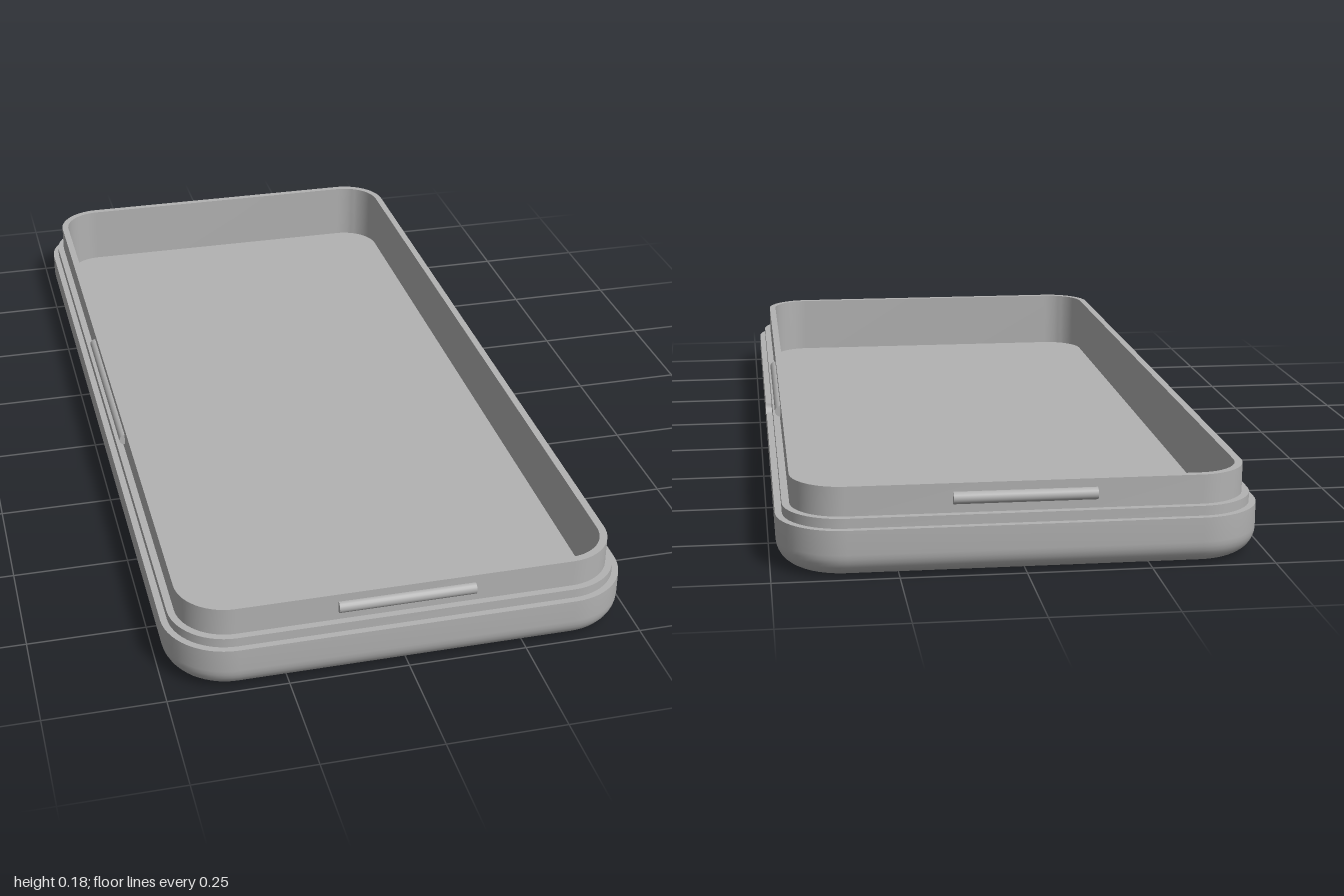
import * as THREE from 'three';
import { toCreasedNormals } from 'three/addons/utils/BufferGeometryUtils.js';

const HALF_X = 0.487, HALF_Z = 1, CORNER = 0.135;
const NOTCH_HALF = 0.045, NOTCH_DEPTH = 0.03;

// Rounded rectangle outline, inset from the outer wall, as [x, z] pairs.
// Extra points on the +x side carry the thumb notch.
function outline(inset) {
  const pts = [], steps = 14, r = CORNER - inset;
  const cx = HALF_X - CORNER, cz = HALF_Z - CORNER;
  [[1, 1], [-1, 1], [-1, -1], [1, -1]].forEach(([sx, sz], q) => {
    for (let i = 0; i <= steps; i++) {
      const a = (q + i / steps) * Math.PI / 2;
      pts.push([sx * cx + r * Math.cos(a), sz * cz + r * Math.sin(a)]);
    }
  });
  for (let i = 0; i <= 16; i++) {
    pts.push([HALF_X - inset, -NOTCH_HALF * Math.cos(i / 16 * Math.PI)]);
  }
  return pts;
}

// How far the lip dips at a point on the outline
function notchDip(x, z) {
  if (x < 0 || Math.abs(z) >= NOTCH_HALF) return 0;
  return NOTCH_DEPTH * Math.sqrt(1 - (z / NOTCH_HALF) ** 2);
}

// Wall swept round the outline; profile rows are [inset, y, notched]
function wall(profile) {
  const pos = [], index = [];
  let n = 0;
  profile.forEach(([inset, y, notched]) => {
    const ring = outline(inset);
    n = ring.length;
    ring.forEach(([x, z]) => pos.push(x, notched ? y - notchDip(x, z) : y, z));
  });
  for (let j = 0; j < profile.length - 1; j++) {
    for (let i = 0; i < n; i++) {
      const a = j * n + i, b = j * n + (i + 1) % n;
      index.push(a, a + n, b, b, a + n, b + n);
    }
  }
  const geo = new THREE.BufferGeometry();
  geo.setAttribute('position', new THREE.Float32BufferAttribute(pos, 3));
  geo.setIndex(index);
  return toCreasedNormals(geo, 0.5);
}

// Flat sheet filling the outline, facing up or down
function sheet(inset, y, up) {
  const shape = new THREE.Shape(outline(inset).map(([x, z]) => new THREE.Vector2(x, up ? -z : z)));
  return new THREE.ShapeGeometry(shape).rotateX(up ? -Math.PI / 2 : Math.PI / 2).translate(0, y, 0);
}

export function createModel() {
  const group = new THREE.Group();
  const grey = new THREE.MeshStandardMaterial({ color: 0xb2b2b2 });
  grey.name = 'plain grey';

  function add(name, geo) {
    const mesh = new THREE.Mesh(geo, grey);
    mesh.name = name;
    group.add(mesh);
    return mesh;
  }

  // Outer tray with rounded bottom edge and notched lip
  const fillet = 0.05, tray = [];
  for (let i = 0; i <= 8; i++) {
    const a = i / 8 * Math.PI / 2;
    tray.push([fillet * (1 - Math.sin(a)), fillet * (1 - Math.cos(a))]);
  }
  tray.push([0, 0.1, true], [0.014, 0.1, true]);
  add('trayBottom', sheet(fillet, 0, false));
  add('trayWall', wall(tray));

  // Small step between tray and rim
  add('step', wall([[0.014, 0.1, true], [0.014, 0.12], [0.029, 0.12]]));

  // Thin upright rim and the inside of the tray
  add('rim', wall([[0.029, 0.12], [0.029, 0.18], [0.045, 0.18], [0.045, 0.04]]));
  add('trayFloor', sheet(0.045, 0.04, true));

  // Snap ribs half sunk into the rim
  const ribRadius = 0.0125, ribY = 0.15, inset = 0.029;
  for (const s of [1, -1]) {
    const side = add(s > 0 ? 'leftRib' : 'rightRib',
      new THREE.CylinderGeometry(ribRadius, ribRadius, 0.475, 20).rotateX(Math.PI / 2));
    side.position.set(s * (HALF_X - inset), ribY, 0);
    const end = add(s > 0 ? 'frontRib' : 'backRib',
      new THREE.CylinderGeometry(ribRadius, ribRadius, 0.286, 20).rotateZ(Math.PI / 2));
    end.position.set(0, ribY, s * (HALF_Z - inset));
  }
  return group;
}
